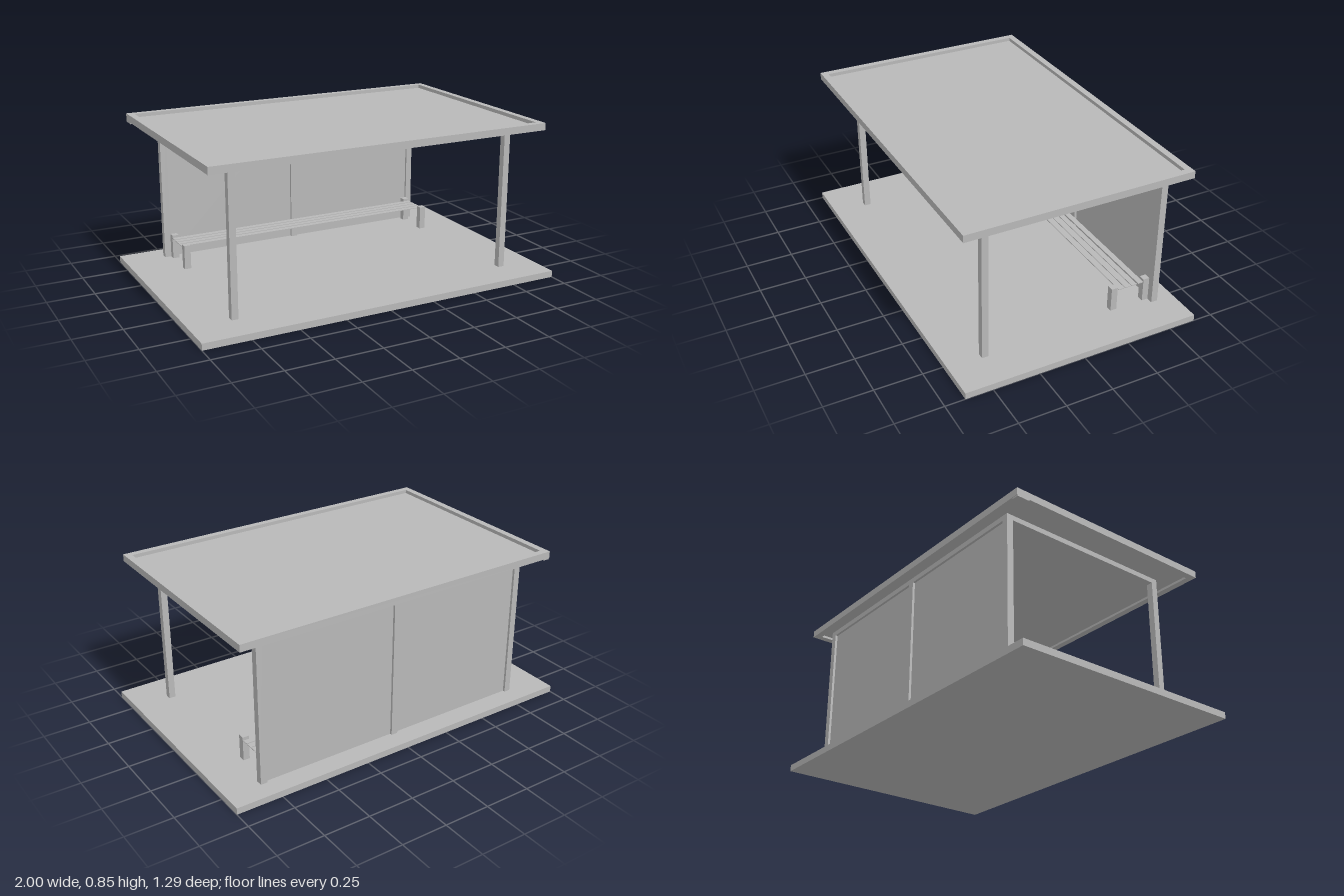
import * as THREE from 'three';

export function createModel() {
  const model = new THREE.Group();
  model.name = 'openShelter';
  const grey = new THREE.MeshStandardMaterial({ color: 0xb8b8b8 });
  grey.name = 'plain grey';

  // Box given by its lower and upper limits on each axis
  function block(name, [x0, x1], [y0, y1], [z0, z1], parent = model) {
    const mesh = new THREE.Mesh(new THREE.BoxGeometry(x1 - x0, y1 - y0, z1 - z0), grey);
    mesh.name = name;
    mesh.position.set((x0 + x1) / 2, (y0 + y1) / 2, (z0 + z1) / 2);
    parent.add(mesh);
    return mesh;
  }

  const floorTop = 0.035, beamBase = 0.785, roofBase = 0.812, roofTop = 0.85;
  const rightPost = [-0.78, -0.745], midPost = [-0.003, 0.033], leftPost = [0.777, 0.812];
  const frontZ = [0.43, 0.465], backZ = [-0.547, -0.511];

  // Floor slab
  block('floorSlab', [-1, 1], [0, floorTop], [-0.645, 0.645]);

  // Posts: two at the front, three at the back
  for (const x of [rightPost, leftPost]) block('frontPost', x, [floorTop, roofBase], frontZ);
  for (const x of [rightPost, midPost, leftPost]) block('backPost', x, [floorTop, roofBase], backZ);

  // Top beams along both sides and the back
  for (const x of [rightPost, leftPost]) block('sideBeam', x, [beamBase, roofBase], [backZ[1], frontZ[0]]);
  for (const [a, b] of [[rightPost, midPost], [midPost, leftPost]]) {
    block('backBeam', [a[1], b[0]], [beamBase, roofBase], backZ);
    // Thin wall panel below each back beam
    block('wallPanel', [a[1], b[0]], [floorTop, beamBase], [-0.534, -0.524]);
  }

  // Roof: raised rim with a thin sheet set inside it
  const rim = new THREE.Shape([
    new THREE.Vector2(-0.928, -0.608), new THREE.Vector2(0.926, -0.608),
    new THREE.Vector2(0.926, 0.608), new THREE.Vector2(-0.928, 0.608),
  ]);
  rim.holes.push(new THREE.Path([
    new THREE.Vector2(-0.892, -0.572), new THREE.Vector2(-0.892, 0.572),
    new THREE.Vector2(0.89, 0.572), new THREE.Vector2(0.89, -0.572),
  ]));
  const rimGeometry = new THREE.ExtrudeGeometry(rim, { depth: roofTop - roofBase, bevelEnabled: false });
  rimGeometry.rotateX(-Math.PI / 2);
  const roofRim = new THREE.Mesh(rimGeometry, grey);
  roofRim.name = 'roofRim';
  roofRim.position.y = roofBase;
  model.add(roofRim);
  block('roofSheet', [-0.892, 0.89], [0.825, 0.831], [-0.572, 0.572]);

  // Small plate under the back corner of the rim
  block('cornerPlate', [-0.928, -0.892], [0.805, roofBase], [-0.605, -0.535]);

  // Bench: four legs and four thin slats
  const bench = new THREE.Group();
  bench.name = 'bench';
  model.add(bench);
  for (const x of [[-0.745, -0.71], [0.742, 0.777]]) {
    for (const z of [[-0.32, -0.285], [-0.511, -0.476]]) block('benchLeg', x, [floorTop, 0.167], z, bench);
  }
  for (let i = 0; i < 4; i++) {
    const z = -0.475 + i * 0.039;
    block('benchSlat', [-0.745, 0.777], [0.15, 0.154], [z, z + 0.031], bench);
  }

  return model;
}
